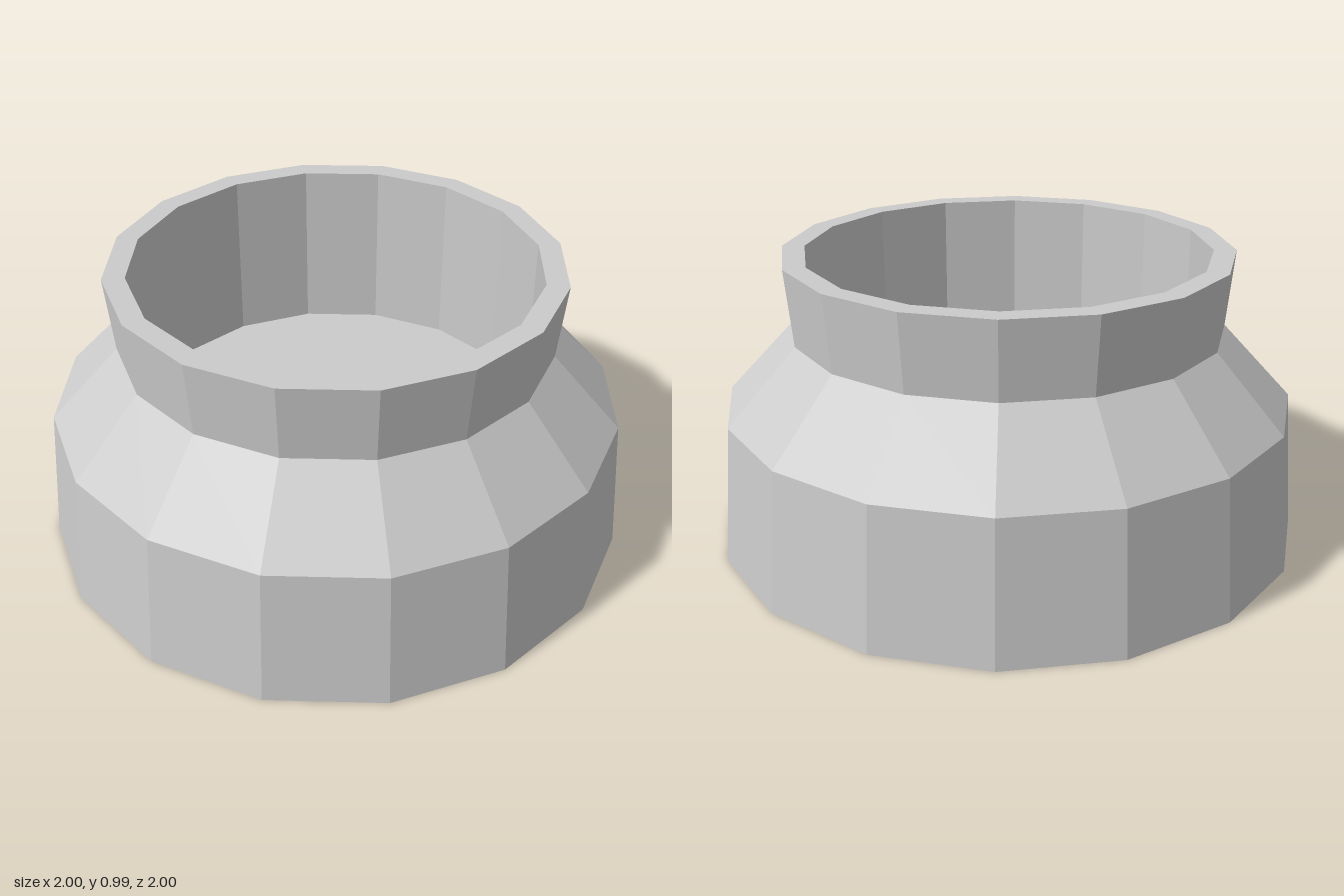
import * as THREE from 'three';

export function createModel() {
  const group = new THREE.Group();
  const material = new THREE.MeshStandardMaterial({ color: 0xcccccc, flatShading: true });

  // Closed profile: base, tapered body, shoulder, flared neck, rim, straight bore, inner floor
  const profile = [
    [0, 0], [1, 0], [0.963, 0.475], [0.73, 0.725], [0.755, 0.985],
    [0.68, 0.985], [0.68, 0.385], [0, 0.385],
  ].map(([r, y]) => new THREE.Vector2(r, y));

  // Sixteen-sided pot
  const pot = new THREE.Mesh(new THREE.LatheGeometry(profile, 16), material);
  pot.name = 'pot';
  group.add(pot);
  return group;
}
